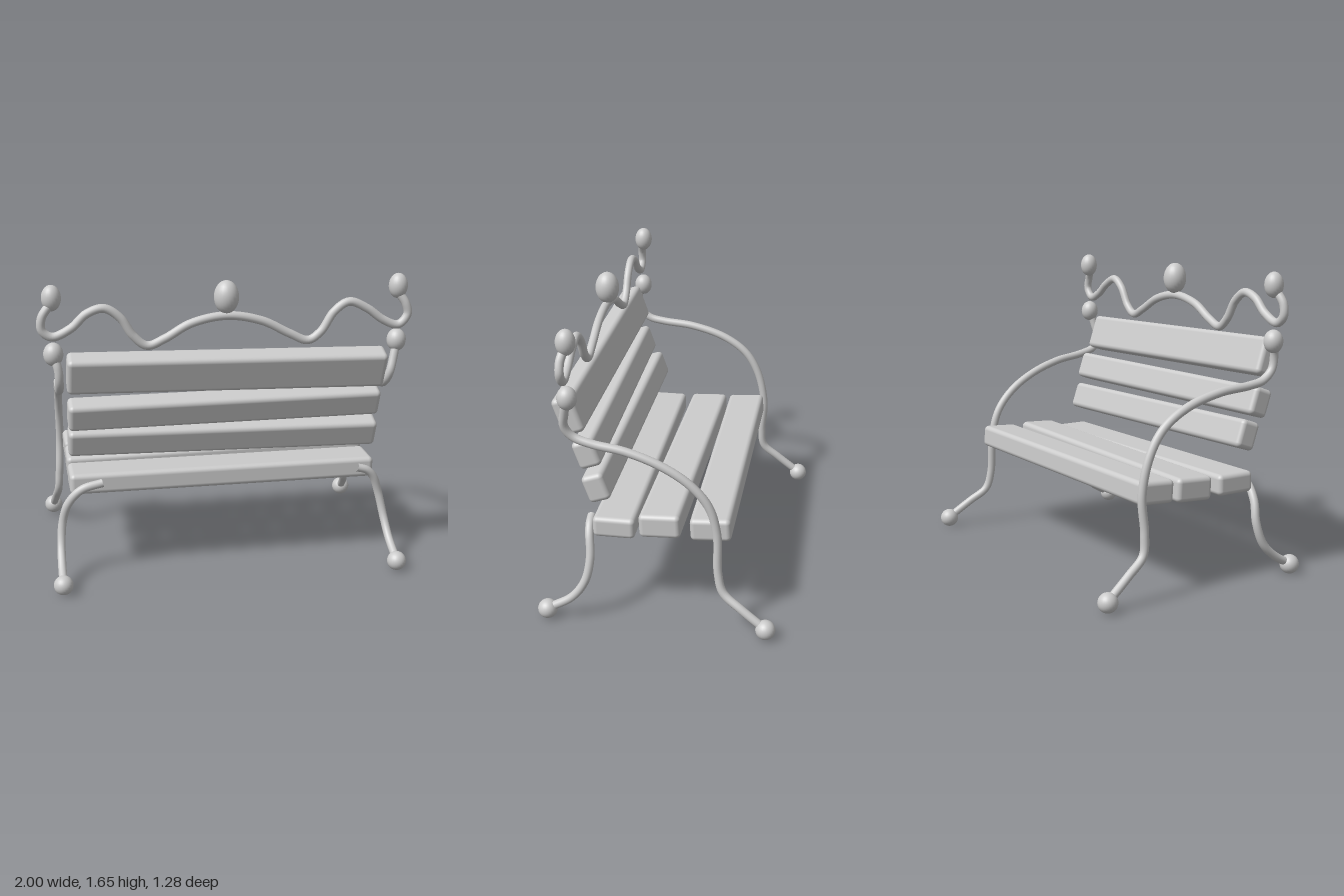
import * as THREE from 'three';
import { RoundedBoxGeometry } from 'three/addons/geometries/RoundedBoxGeometry.js';

const material = new THREE.MeshStandardMaterial({ color: 0xcccccc });

function add(group, name, geometry, position = [0, 0, 0], rotation = [0, 0, 0]) {
  const mesh = new THREE.Mesh(geometry, material);
  mesh.name = name;
  mesh.position.set(...position);
  mesh.rotation.set(...rotation);
  group.add(mesh);
  return mesh;
}

// Bent iron rod through a few points
function rod(group, name, points, radius = 0.023) {
  const curve = new THREE.CatmullRomCurve3(points.map(p => new THREE.Vector3(...p)), false, 'centripetal');
  add(group, name, new THREE.TubeGeometry(curve, points.length * 8, radius, 14));
}

// Round or egg-shaped finial
function knob(group, name, position, radius, height = radius) {
  add(group, name, new THREE.SphereGeometry(radius, 24, 16), position).scale.y = height / radius;
}

export function createModel() {
  const bench = new THREE.Group();
  bench.name = 'parkBench';

  // Planks, each set slightly askew: [size y, size z, centre y, centre z, rotation]
  const planks = {
    seatPlankFront: [0.125, 0.215, 0.56, -0.262, [0.06, 0.018, 0.006]],
    seatPlankMiddle: [0.13, 0.22, 0.55, -0.008, [0.05, 0, 0.012]],
    seatPlankRear: [0.115, 0.225, 0.533, 0.248, [0, 0.014, -0.004]],
    backPlankLower: [0.155, 0.12, 0.772, 0.332, [0.34, 0.008, -0.02]],
    backPlankMiddle: [0.155, 0.12, 0.952, 0.395, [0.34, 0.03, -0.006]],
    backPlankUpper: [0.205, 0.12, 1.175, 0.465, [0.33, 0.006, -0.024]],
  };
  for (const [name, [h, d, y, z, rotation]] of Object.entries(planks)) {
    const plank = add(bench, name, new RoundedBoxGeometry(1.705, h, d, 4, 0.026), [0, y, z], rotation);
    plank.rotation.order = 'ZYX';
  }

  // Armrests that run down into the front legs
  rod(bench, 'leftArmAndFrontLeg', [
    [0.925, 1.29, 0.437], [0.905, 1.2, 0.458], [0.885, 1.12, 0.468], [0.872, 1.06, 0.43],
    [0.872, 1.025, 0.33], [0.87, 0.995, 0.16], [0.868, 0.93, -0.02], [0.865, 0.835, -0.17],
    [0.862, 0.715, -0.27], [0.862, 0.56, -0.315], [0.872, 0.33, -0.325], [0.885, 0.225, -0.355],
    [0.912, 0.15, -0.455], [0.935, 0.06, -0.585],
  ]);
  rod(bench, 'rightArmAndFrontLeg', [
    [-0.92, 1.295, 0.437], [-0.895, 1.22, 0.46], [-0.89, 1.14, 0.45], [-0.89, 1.085, 0.39],
    [-0.888, 1.065, 0.3], [-0.885, 1.045, 0.11], [-0.88, 0.985, -0.09], [-0.875, 0.89, -0.23],
    [-0.872, 0.76, -0.31], [-0.87, 0.56, -0.355], [-0.88, 0.36, -0.345], [-0.888, 0.25, -0.36],
    [-0.9, 0.165, -0.455], [-0.915, 0.06, -0.585],
  ]);

  // Rear legs, hooked under the seat
  rod(bench, 'leftRearLeg', [
    [0.75, 0.545, 0.375], [0.81, 0.525, 0.372], [0.85, 0.48, 0.365], [0.888, 0.37, 0.355],
    [0.915, 0.24, 0.38], [0.928, 0.14, 0.45], [0.935, 0.06, 0.585],
  ]);
  rod(bench, 'rightRearLeg', [
    [-0.675, 0.545, 0.375], [-0.79, 0.515, 0.38], [-0.865, 0.435, 0.37], [-0.9, 0.32, 0.36],
    [-0.912, 0.2, 0.4], [-0.915, 0.12, 0.48], [-0.915, 0.06, 0.585],
  ]);

  // Wavy crest rail above the back
  const crest = [
    [-0.92, 1.56], [-0.968, 1.49], [-0.97, 1.425], [-0.92, 1.388], [-0.82, 1.43], [-0.74, 1.502],
    [-0.65, 1.528], [-0.567, 1.475], [-0.5, 1.375], [-0.43, 1.322], [-0.337, 1.355], [-0.2, 1.43],
    [-0.01, 1.465], [0.18, 1.43], [0.33, 1.355], [0.43, 1.315], [0.5, 1.36], [0.57, 1.465],
    [0.65, 1.515], [0.75, 1.475], [0.84, 1.41], [0.925, 1.38], [0.975, 1.435], [0.962, 1.495], [0.925, 1.55],
  ];
  rod(bench, 'crestRail', crest.map(([x, y]) => [x, y, y > 1.54 ? 0.44 : 0.452]));

  // Feet and finials
  for (const [side, x] of [['left', 0.935], ['right', -0.915]]) {
    knob(bench, side + 'FrontFoot', [x, 0.056, -0.587], 0.053);
    knob(bench, side + 'RearFoot', [x, 0.056, 0.587], 0.053);
    knob(bench, side + 'ArmFinial', [x < 0 ? x : 0.924, 1.292, 0.435], 0.052, 0.062);
    knob(bench, side + 'CrestFinial', [x < 0 ? x : 0.924, 1.587, 0.43], 0.051, 0.068);
  }
  knob(bench, 'centreFinial', [-0.01, 1.563, 0.445], 0.066, 0.088);

  return bench;
}
